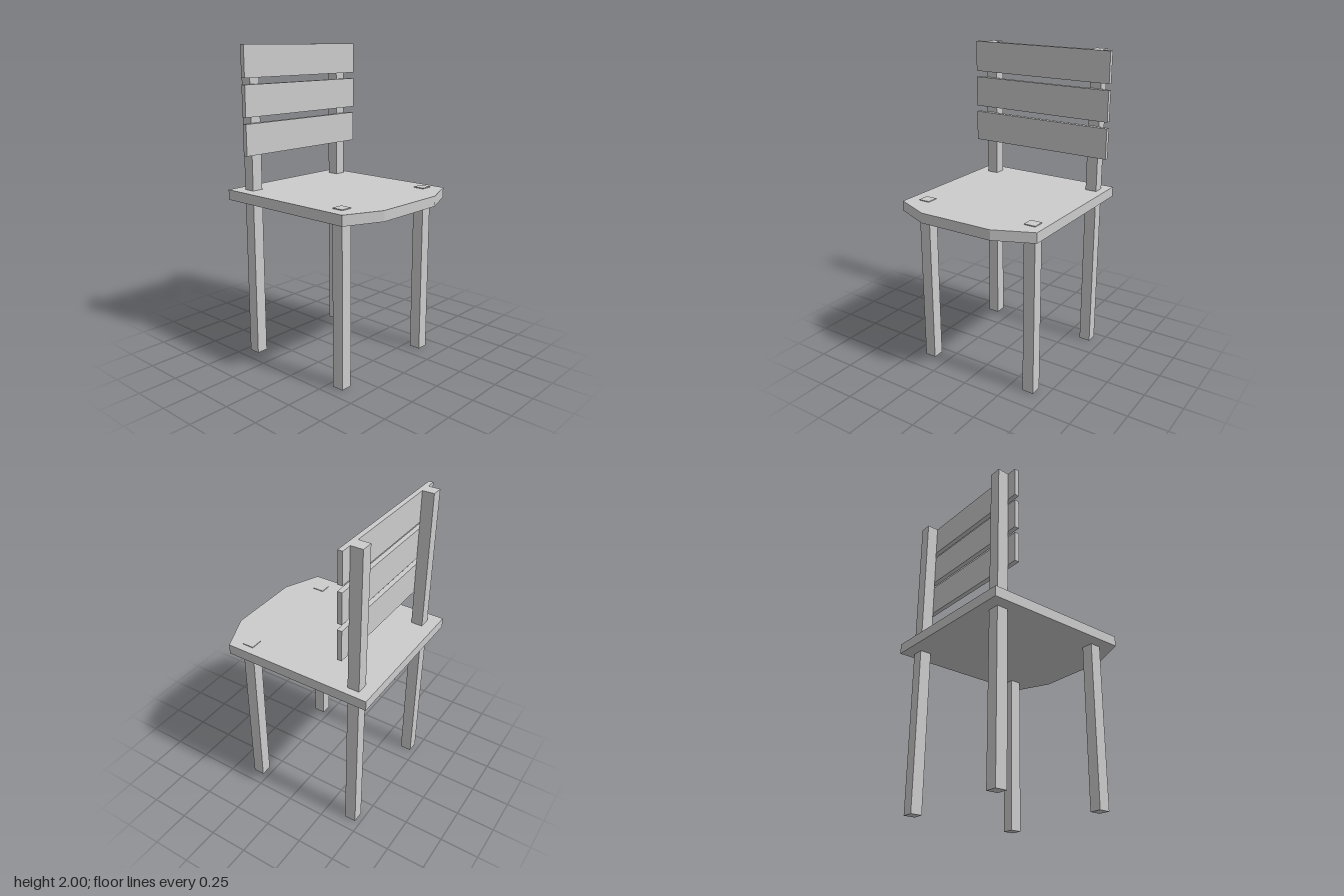
import * as THREE from 'three';

const material = new THREE.MeshStandardMaterial({ color: 0xcccccc, flatShading: true });

export function createModel() {
  const chair = new THREE.Group();
  chair.name = 'chair';

  const add = (name, geometry, x, y, z) => {
    const mesh = new THREE.Mesh(geometry, material);
    mesh.name = name;
    mesh.position.set(x, y, z);
    chair.add(mesh);
  };
  const box = (name, w, h, d, x, y, z) => add(name, new THREE.BoxGeometry(w, h, d), x, y, z);

  // Seat board with clipped front corners; outline is drawn in x and -z
  const outline = [
    [-0.497, 0.54], [-0.497, -0.431], [-0.259, -0.536],
    [0.23, -0.536], [0.474, -0.431], [0.474, 0.54],
  ].map(([x, y]) => new THREE.Vector2(x, y));
  const seat = new THREE.ExtrudeGeometry(new THREE.Shape(outline), { depth: 0.065, bevelEnabled: false });
  seat.rotateX(-Math.PI / 2);
  add('seat', seat, 0, 1.036, 0);

  // Front legs poke slightly through the seat
  const leg = 0.075;
  box('rightFrontLeg', leg, 1.106, leg, -0.384, 0.553, 0.327);
  box('leftFrontLeg', leg, 1.106, leg, 0.384, 0.553, 0.327);

  // Back legs run up to carry the backrest
  box('rightBackPost', leg, 2, leg, -0.384, 1, -0.428);
  box('leftBackPost', leg, 2, leg, 0.387, 1, -0.428);

  // Backrest slats in front of the posts
  for (let i = 0; i < 3; i++) {
    box(`backSlat${i + 1}`, 0.98, 0.196, 0.03, 0.003, 1.902 - i * 0.236, -0.3755);
  }

  return chair;
}
